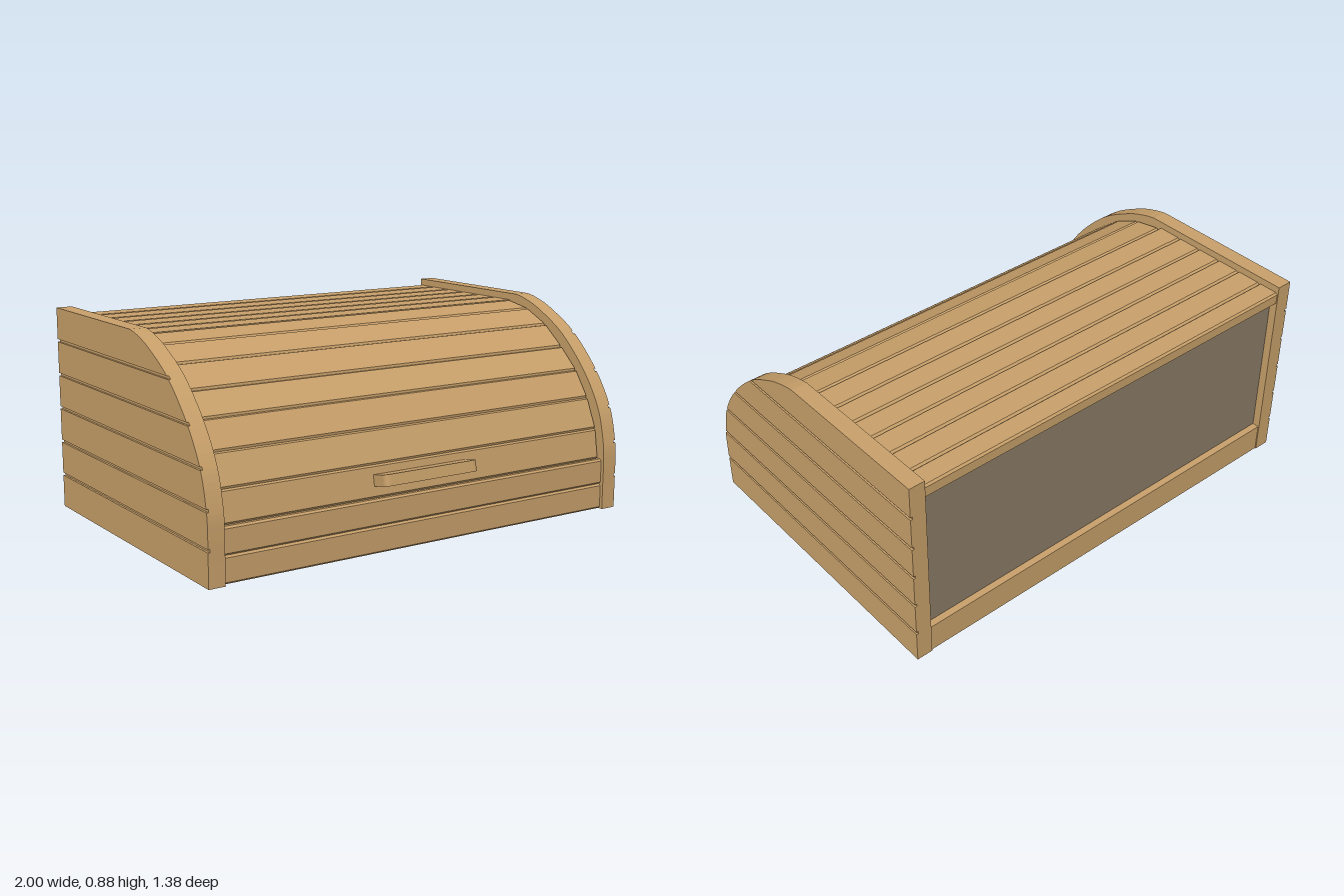
import * as THREE from 'three';

const wood = new THREE.MeshStandardMaterial({ color: 0xc8a06a });
wood.name = 'wood';
const panel = new THREE.MeshStandardMaterial({ color: 0x8a7a66 });
panel.name = 'backing panel';

// Curved front edge of the side walls, as (z, y) from bottom to top
const edge = new THREE.SplineCurve([
  [0.645, 0], [0.645, 0.1], [0.645, 0.2], [0.638, 0.295], [0.598, 0.44], [0.502, 0.59],
  [0.355, 0.735], [0.2, 0.825], [0.1, 0.862], [0.04, 0.875],
].map(([z, y]) => new THREE.Vector2(z, y))).getPoints(54);

const BACK = -0.69;
const HEIGHT = 0.875;

function addMesh(group, name, geometry, material = wood) {
  const mesh = new THREE.Mesh(geometry, material);
  mesh.name = name;
  group.add(mesh);
  return mesh;
}

// Extrudes a (z, y) outline along x, from x0 to x1
function extrudeX(points, x0, x1) {
  const geo = new THREE.ExtrudeGeometry(new THREE.Shape(points), { depth: x1 - x0, bevelEnabled: false });
  geo.rotateY(-Math.PI / 2);
  geo.translate(x1, 0, 0);
  return geo;
}

function edgeZ(y) {
  for (let i = 1; i < edge.length; i++) {
    const a = edge[i - 1], b = edge[i];
    if (y <= b.y) return a.x + (b.x - a.x) * (y - a.y) / (b.y - a.y);
  }
  return edge[edge.length - 1].x;
}

// Part of the side wall outline between two heights
function sideBand(y0, y1) {
  return [
    new THREE.Vector2(BACK, y0),
    new THREE.Vector2(edgeZ(y0), y0),
    ...edge.filter((p) => p.y > y0 + 0.001 && p.y < y1 - 0.001),
    new THREE.Vector2(edgeZ(y1), y1),
    new THREE.Vector2(BACK, y1),
  ];
}

// Slat with chamfered outer edges; its outer face runs from a to b in (z, y)
function slat(a, b, thickness, halfWidth) {
  const c = 0.008;
  const A = new THREE.Vector2(...a), B = new THREE.Vector2(...b);
  const d = B.clone().sub(A).normalize();
  const n = new THREE.Vector2(d.y, -d.x);
  const at = (p, along, out) => p.clone().addScaledVector(d, along).addScaledVector(n, out);
  return extrudeX([
    at(A, 0, -thickness), at(A, 0, -c), at(A, c, 0),
    at(B, -c, 0), at(B, 0, -c), at(B, 0, -thickness),
  ], -halfWidth, halfWidth);
}

function addSlats(group, name, points, thickness, halfWidth) {
  for (let i = 1; i < points.length; i++) {
    addMesh(group, name + i, slat(points[i - 1], points[i], thickness, halfWidth));
  }
}

function addBox(group, name, size, position, material) {
  addMesh(group, name, new THREE.BoxGeometry(...size), material).position.set(...position);
}

export function createModel() {
  const model = new THREE.Group();
  model.name = 'breadBox';

  // Side walls: a solid core with raised planks outside, leaving grooves
  const joints = [0, 0.145, 0.293, 0.441, 0.587, 0.734, HEIGHT];
  for (const s of [1, -1]) {
    const side = new THREE.Group();
    side.name = s > 0 ? 'leftSide' : 'rightSide';
    const place = (name, pts, x0, x1) =>
      addMesh(side, name, s > 0 ? extrudeX(pts, x0, x1) : extrudeX(pts, -x1, -x0));
    place('sideCore', sideBand(0, HEIGHT), 0.93, 0.991);
    for (let i = 0; i < 6; i++) {
      const y0 = joints[i] + (i > 0 ? 0.006 : 0);
      const y1 = joints[i + 1] - (i < 5 ? 0.006 : 0);
      place('sidePlank' + (i + 1), sideBand(y0, y1), 0.991, 1);
    }
    model.add(side);
  }

  // Fixed boards on the lower front
  addSlats(model, 'frontBoard', [[0.63, 0], [0.63, 0.11], [0.63, 0.22]], 0.05, 0.93);

  // Rolling shutter that follows the curve
  addSlats(model, 'shutterSlat', [
    [0.618, 0.222], [0.597, 0.352], [0.54, 0.48], [0.463, 0.59],
    [0.365, 0.68], [0.255, 0.765], [0.13, 0.822], [0, 0.845],
  ], 0.03, 0.918);

  // Flat roof boards
  addSlats(model, 'roofBoard', [0, -0.12, -0.235, -0.35, -0.465, -0.585, -0.685].map((z) => [z, 0.845]), 0.05, 0.93);

  // Handle with rounded front corners, tilted square to its slat
  const w = 0.225, l = 0.09, r = 0.025;
  const grip = new THREE.Shape();
  grip.moveTo(-w, 0);
  grip.lineTo(w, 0);
  grip.lineTo(w, l - r);
  grip.quadraticCurveTo(w, l, w - r, l);
  grip.lineTo(-w + r, l);
  grip.quadraticCurveTo(-w, l, -w, l - r);
  const gripGeo = new THREE.ExtrudeGeometry(grip, { depth: 0.046, bevelEnabled: false, curveSegments: 6 });
  gripGeo.translate(0, 0, -0.023);
  gripGeo.rotateX(Math.PI / 2 - 0.2);
  addMesh(model, 'handle', gripGeo).position.set(-0.025, 0.29, 0.602);

  // Back rail, recessed back panel and floor
  addBox(model, 'backRail', [1.86, 0.125, 0.05], [0, 0.0625, -0.66]);
  addBox(model, 'backPanel', [1.86, 0.76, 0.02], [0, 0.42, -0.645], panel);
  addBox(model, 'floor', [1.86, 0.02, 1.23], [0, 0.045, -0.03], panel);

  return model;
}
